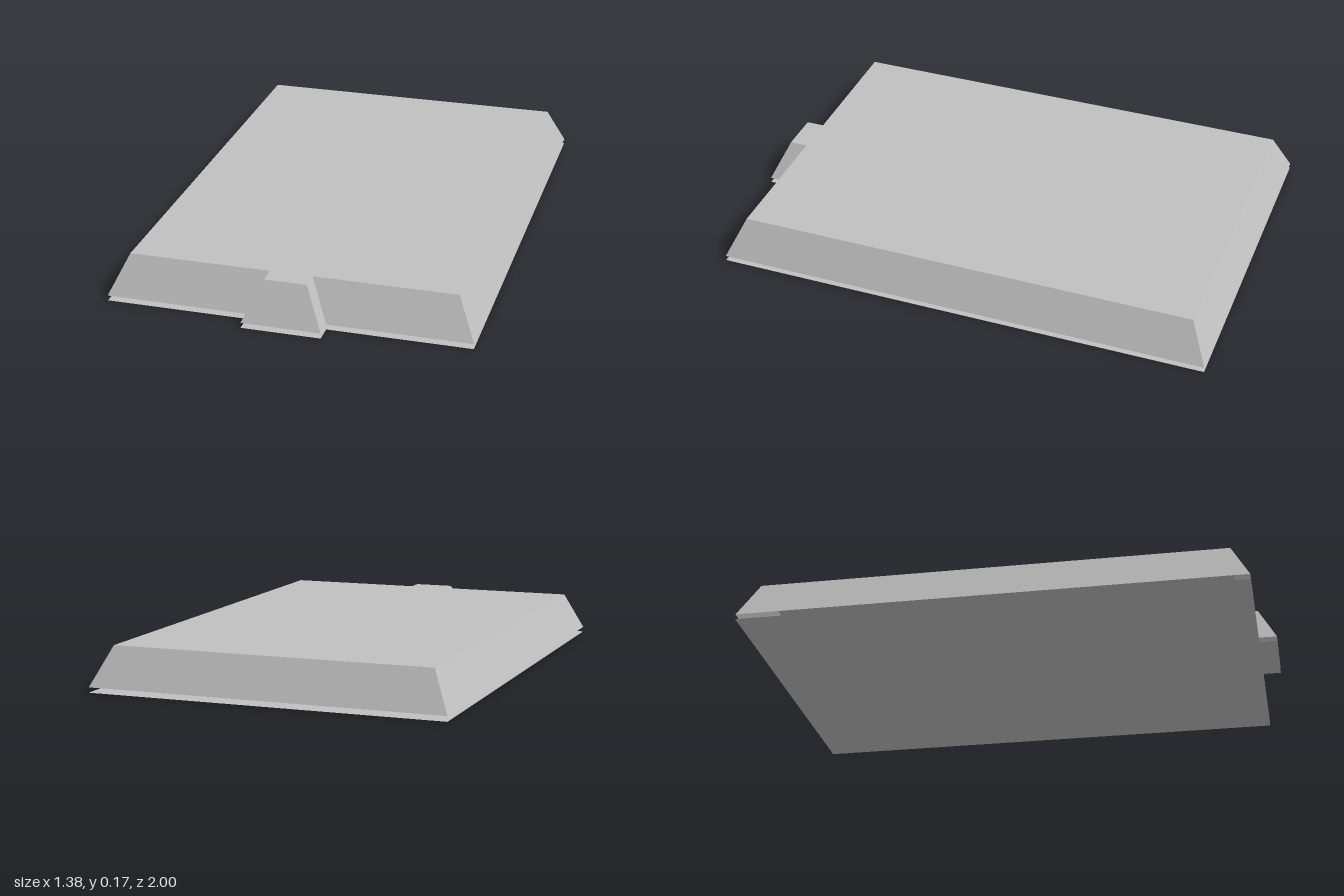
import * as THREE from 'three';

// Rectangle with a small front tab, grown outward by d; points are (x, -z), counter-clockwise from above
function outline(d) {
  const w = 0.62 + d, t = 0.08 + d, front = -0.86 - d, tab = -0.93 - d, back = 0.93 + d;
  return [
    [-w, front], [-t, front], [-t, tab], [t, tab],
    [t, front], [w, front], [w, back], [-w, back],
  ].map(([x, y]) => new THREE.Vector2(x, y));
}

// Flat horizontal sheet at height y
function sheet(points, y) {
  return new THREE.ShapeGeometry(new THREE.Shape(points)).rotateX(-Math.PI / 2).translate(0, y, 0);
}

// Sloped band joining two outlines
function band(lower, y0, upper, y1) {
  const pos = [];
  const put = (p, y) => pos.push(p.x, y, -p.y);
  lower.forEach((a, i) => {
    const j = (i + 1) % lower.length;
    put(a, y0); put(lower[j], y0); put(upper[j], y1);
    put(a, y0); put(upper[j], y1); put(upper[i], y1);
  });
  const geo = new THREE.BufferGeometry();
  geo.setAttribute('position', new THREE.Float32BufferAttribute(pos, 3));
  geo.computeVertexNormals();
  return geo;
}

export function createModel() {
  const grey = new THREE.MeshStandardMaterial({ color: 0xc0c0c0, side: THREE.DoubleSide });
  grey.name = 'lightGrey';
  const model = new THREE.Group();
  model.name = 'bevelledSlab';
  const add = (name, geo) => {
    const mesh = new THREE.Mesh(geo, grey);
    mesh.name = name;
    model.add(mesh);
  };

  const top = outline(0), base = outline(0.07);
  add('basePlate', sheet(base, 0));
  // Open-bottomed cover floating just above the base plate
  add('slopedSides', band(base, 0.02, top, 0.17));
  add('topPanel', sheet(top, 0.17));
  return model;
}
